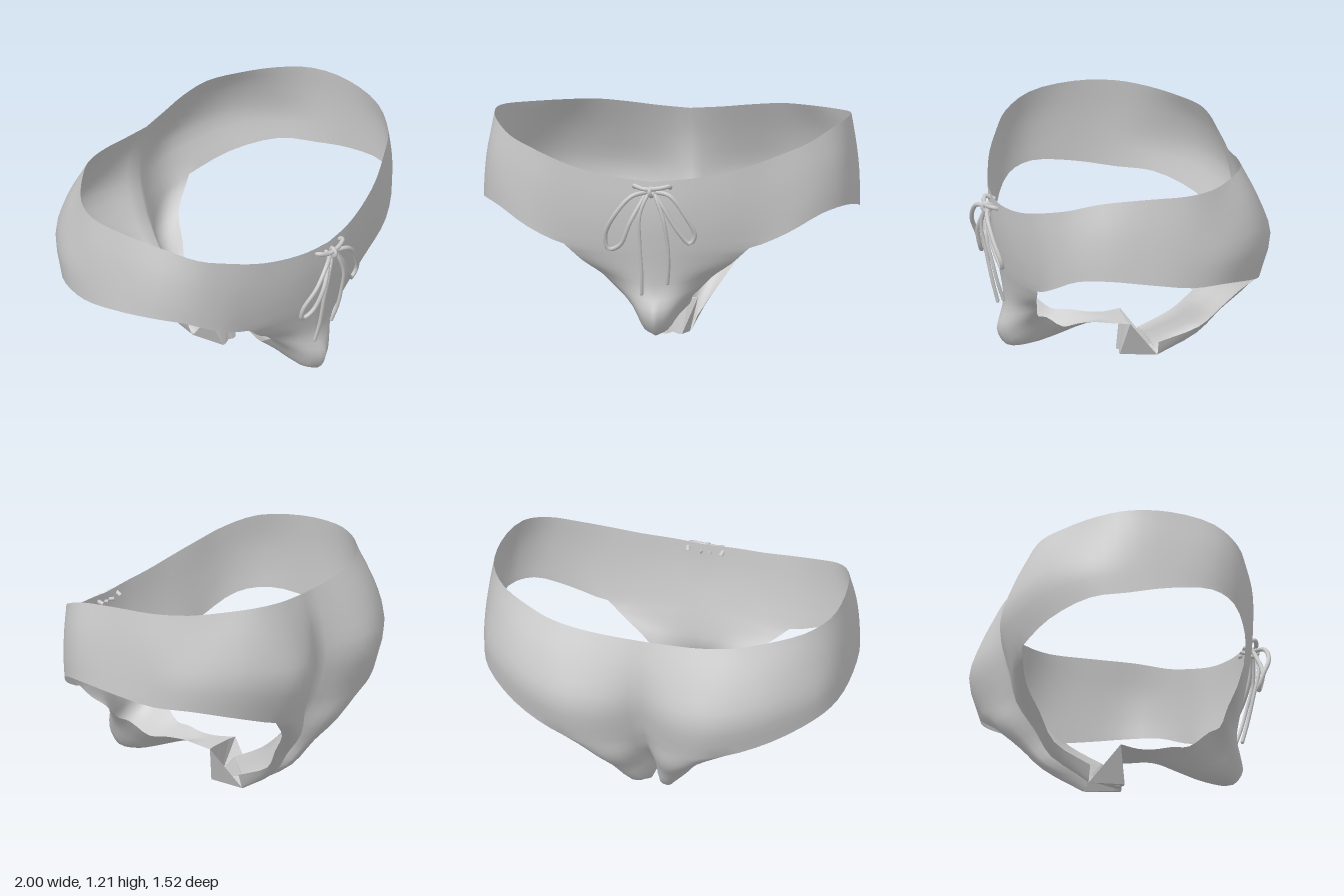
import * as THREE from 'three';
import { mergeGeometries, mergeVertices } from 'three/addons/utils/BufferGeometryUtils.js';

const vec = (p) => new THREE.Vector3(...p);
const sample = (pts, n) => {
  const c = new THREE.CatmullRomCurve3(pts);
  return Array.from({ length: n + 1 }, (_, i) => c.getPoint(i / n));
};
const transpose = (g) => g[0].map((_, i) => g.map((r) => r[i]));

// Smooth grid through control rows: nu steps along each row, nv across them
function loft(rows, nu, nv) {
  const wide = rows.map((r) => sample(r.map(vec), nu));
  return transpose(transpose(wide).map((col) => sample(col, nv)));
}

// Grid to geometry, on the wearer's left or mirrored to the right
function gridGeometry(grid, flip, mirror) {
  const w = grid[0].length, pos = [], idx = [];
  for (const row of grid) for (const p of row) pos.push(mirror ? -p.x : p.x, p.y, p.z);
  for (let r = 0; r < grid.length - 1; r++) {
    for (let i = 0; i < w - 1; i++) {
      const a = r * w + i, b = a + w;
      if (flip !== mirror) idx.push(a, a + 1, b, a + 1, b + 1, b);
      else idx.push(a, b, a + 1, a + 1, b, b + 1);
    }
  }
  const g = new THREE.BufferGeometry();
  g.setAttribute('position', new THREE.Float32BufferAttribute(pos, 3));
  g.setIndex(idx);
  return g;
}
const bothSides = (grid, flip) => [gridGeometry(grid, flip, false), gridGeometry(grid, flip, true)];

// Waistband stations, top edge to leg edge: front centre to hip
const frontStations = [
  [[0, .94, .66], [0, .82, .66], [0, .7, .65], [0, .58, .63]],
  [[.17, .955, .65], [.17, .82, .645], [.17, .69, .63], [.17, .57, .61]],
  [[.34, .98, .615], [.34, .84, .61], [.34, .7, .595], [.34, .57, .57]],
  [[.5, 1.02, .57], [.51, .86, .56], [.51, .71, .545], [.5, .575, .525]],
  [[.66, 1.075, .5], [.68, .92, .5], [.7, .77, .49], [.7, .655, .485]],
  [[.8, 1.13, .42], [.84, .99, .41], [.86, .85, .4], [.87, .75, .385]],
  [[.9, 1.19, .27], [.945, 1.04, .26], [.965, .89, .25], [.97, .775, .24]],
];
// Hip to back centre
const backStations = [
  [[.95, 1.215, .02], [.975, 1.05, .02], [.99, .9, .01], [1, .745, 0]],
  [[.93, 1.21, -.2], [.96, 1.04, -.21], [.975, .87, -.22], [.975, .705, -.22]],
  [[.83, 1.2, -.36], [.87, 1.04, -.39], [.91, .85, -.41], [.9, .69, -.41]],
  [[.65, 1.195, -.5], [.7, 1.04, -.57], [.74, .84, -.61], [.71, .63, -.59]],
  [[.5, 1.19, -.58], [.53, 1, -.67], [.55, .8, -.72], [.48, .56, -.685]],
  [[.33, 1.175, -.605], [.36, .98, -.7], [.37, .78, -.765], [.32, .535, -.71]],
  [[.17, 1.16, -.6], [.18, .97, -.68], [.18, .77, -.73], [.16, .53, -.67]],
  [[0, 1.15, -.59], [0, .97, -.635], [0, .77, -.635], [0, .56, -.58]],
];
// Front pouch narrowing into the crotch strip, each row centre to leg edge
const pouchRows = [
  [[0, .46, .61], [.14, .46, .59], [.28, .465, .55], [.4, .485, .51]],
  [[0, .33, .6], [.1, .345, .58], [.2, .375, .53], [.3, .415, .485]],
  [[0, .2, .64], [.075, .22, .6], [.14, .27, .53], [.215, .33, .46]],
  [[0, .105, .585], [.06, .13, .55], [.12, .22, .48], [.185, .31, .41]],
  [[0, .1, .47], [.05, .13, .43], [.1, .19, .37], [.145, .235, .31]],
  [[0, .13, .36], [.035, .15, .33], [.075, .195, .27], [.115, .235, .22]],
  [[0, .19, .18], [.03, .2, .17], [.055, .215, .15], [.085, .225, .13]],
  [[0, .215, .05], [.03, .215, .05], [.06, .215, .05], [.095, .215, .04]],
  [[0, .215, -.05], [.04, .215, -.05], [.08, .215, -.05], [.13, .215, -.06]],
];
// Creased seat panel running down and forward
const seatRows = [
  [[0, .42, -.5], [.11, .4, -.62], [.21, .39, -.645], [.31, .43, -.62]],
  [[0, .31, -.4], [.08, .26, -.51], [.15, .27, -.54], [.235, .31, -.53]],
  [[0, .23, -.3], [.05, .14, -.42], [.1, .13, -.43], [.15, .18, -.43]],
  [[0, .15, -.13], [.03, .06, -.2], [.06, .005, -.22], [.1, .09, -.22]],
];
// Folded join between seat panel and crotch strip
const foldStart = [[0, .15, -.13], [.03, .06, -.2], [.06, .005, -.22], [.06, .005, -.22]];
const foldTip = [[0, .03, -.025], [.03, .02, -.02], [.05, .02, -.02], [.13, .215, -.06]];

// Drawstring paths
const loopRight = [[-.02, .89, .69], [-.1, .87, .73], [-.19, .77, .735], [-.25, .65, .69],
  [-.235, .575, .67], [-.17, .6, .69], [-.11, .73, .72], [-.03, .88, .69]];
const loopLeft = [[.02, .89, .69], [.1, .875, .715], [.18, .77, .7], [.23, .655, .665],
  [.2, .61, .655], [.14, .68, .68], [.07, .8, .7], [.02, .88, .69]];
const tailRight = [[-.03, .9, .63], [-.02, .88, .69], [-.06, .77, .71], [-.065, .6, .68], [-.06, .45, .65], [-.065, .33, .62]];
const tailLeft = [[.03, .9, .63], [.02, .88, .69], [.065, .75, .71], [.085, .6, .68], [.085, .48, .65], [.075, .39, .62]];
const eyeletCord = [[-.09, .9, .63], [-.095, .92, .68], [-.04, .905, .7], [.04, .91, .7], [.095, .92, .68], [.09, .9, .63]];

export function createModel() {
  const model = new THREE.Group();
  const cloth = new THREE.MeshStandardMaterial({ color: 0xcccccc, side: THREE.DoubleSide });
  const foldCloth = new THREE.MeshStandardMaterial({ color: 0xcccccc, side: THREE.DoubleSide, flatShading: true });
  const cord = new THREE.MeshStandardMaterial({ color: 0xcccccc });
  const add = (name, geometry, material) => {
    const mesh = new THREE.Mesh(geometry, material);
    mesh.name = name;
    model.add(mesh);
    return mesh;
  };

  // Briefs: waistband, pouch and seat share their seams
  const stations = [...frontStations, ...backStations];
  const step = 3, span = 3 * step;
  const band = loft(transpose(stations), (stations.length - 1) * step, 9);
  const hem = band[band.length - 1];
  const hemRow = stations.map((s) => s[3]);

  const pouch = loft([hemRow.slice(0, 4), ...pouchRows], span, 27);
  pouch[0] = hem.slice(0, span + 1);
  const seat = loft([hemRow.slice(-4).reverse(), ...seatRows], span, 12);
  seat[0] = hem.slice(-span - 1).reverse();

  const shell = mergeVertices(mergeGeometries([
    ...bothSides(band, false), ...bothSides(pouch, false), ...bothSides(seat, true),
  ]), 1e-4);
  shell.computeVertexNormals();
  add('briefs', shell, cloth);

  // Crotch fold
  const fold = [foldStart, foldTip, pouchRows[8]].map((r) => r.map(vec));
  const foldGeometry = mergeGeometries(bothSides(fold, true));
  foldGeometry.computeVertexNormals();
  add('crotchFold', foldGeometry, foldCloth);

  // Drawstring bow
  const tube = (name, pts, radius = .012) =>
    add(name, new THREE.TubeGeometry(new THREE.CatmullRomCurve3(pts.map(vec)), 36, radius, 8), cord);
  tube('bowLoopRight', loopRight);
  tube('bowLoopLeft', loopLeft);
  tube('eyeletCord', eyeletCord);
  for (const [side, pts] of [['Right', tailRight], ['Left', tailLeft]]) {
    tube('cordTail' + side, pts, .01);
    const tip = add('cordTip' + side, new THREE.SphereGeometry(.01, 8, 6), cord);
    tip.position.set(...pts[pts.length - 1]);
  }
  const knot = add('bowKnot', new THREE.TorusGeometry(.022, .012, 8, 16), cord);
  knot.position.set(0, .89, .695);
  knot.rotation.y = Math.PI / 2.5;
  return model;
}
